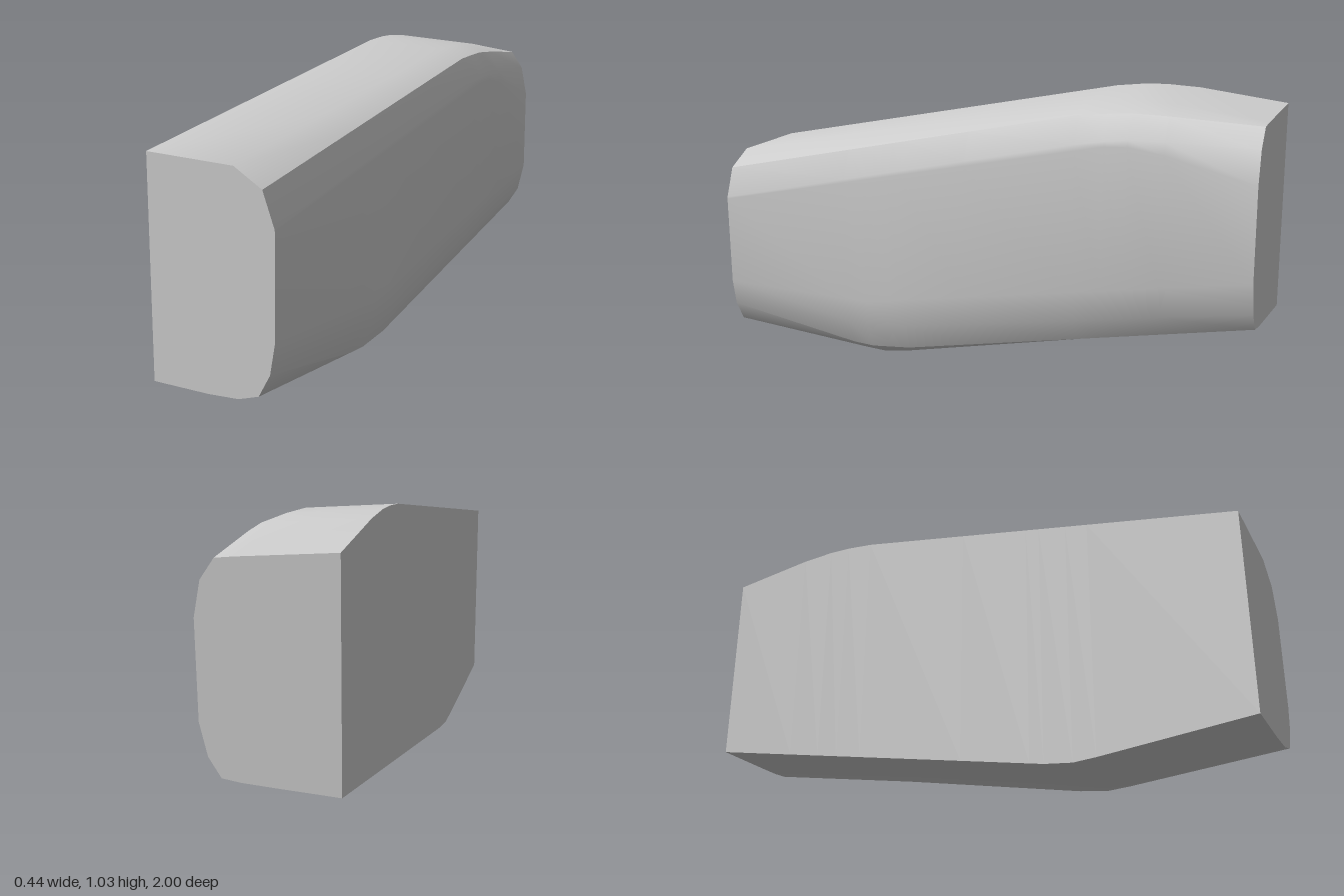
import * as THREE from 'three';
import { toCreasedNormals } from 'three/addons/utils/BufferGeometryUtils.js';

// Lengthwise edges of the shell as [z, x, y], running from front to back,
// listed around the section from the inner top edge to the inner bottom edge.
const rails = [
  [[1, -0.22, 0.765], [-0.4, -0.22, 1.02], [-0.5, -0.22, 1.03], [-0.58, -0.22, 1.032], [-0.7, -0.22, 1.025], [-1, -0.22, 0.985]],
  [[1, 0.085, 0.745], [-0.4, 0.085, 0.993], [-0.58, 0.085, 1.006], [-0.7, 0.085, 0.998], [-1, 0.085, 0.957]],
  [[1, 0.18, 0.685], [-0.42, 0.17, 0.962], [-0.58, 0.168, 0.972], [-0.7, 0.163, 0.968], [-1, 0.145, 0.95]],
  [[1, 0.218, 0.577], [-0.45, 0.21, 0.876], [-0.6, 0.209, 0.892], [-1, 0.19, 0.885]],
  [[1, 0.219, 0.57], [-0.5, 0.213, 0.865], [-0.62, 0.213, 0.87], [-1, 0.212, 0.775]],
  [[1, 0.213, 0.245], [0.4, 0.216, 0.235], [-1, 0.21, 0.465]],
  [[1, 0.195, 0.15], [0.4, 0.21, 0.148], [0.25, 0.21, 0.158], [-1, 0.185, 0.36]],
  [[1, 0.155, 0.08], [0.4, 0.17, 0.053], [0.25, 0.169, 0.066], [-1, 0.145, 0.298]],
  [[1, 0.085, 0.06], [0.48, 0.085, 0.011], [0.4, 0.085, 0.007], [0.3, 0.085, 0.021], [-1, 0.085, 0.291]],
  [[1, -0.02, 0.057], [0.48, -0.02, 0.006], [0.4, -0.02, 0.001], [0.3, -0.02, 0.017], [-1, -0.02, 0.287]],
  [[1, -0.22, 0.063], [0.48, -0.22, 0.013], [0.4, -0.22, 0.008], [0.3, -0.22, 0.02], [-1, -0.22, 0.281]],
];
const stations = [1, 0.48, 0.4, 0.3, 0.25, 0, -0.4, -0.5, -0.58, -0.7, -1];

// Point on a rail at a given z
function pointAt(rail, z) {
  let k = 0;
  while (k < rail.length - 2 && z < rail[k + 1][0]) k++;
  const [a, b] = [rail[k], rail[k + 1]];
  const t = (z - a[0]) / (b[0] - a[0]);
  return [a[1] + (b[1] - a[1]) * t, a[2] + (b[2] - a[2]) * t, z];
}

function loftGeometry() {
  const n = rails.length;
  const positions = stations.flatMap((z) => rails.flatMap((rail) => pointAt(rail, z)));
  const index = [];
  // Skin, including the flat inner wall that closes each section
  for (let s = 0; s < stations.length - 1; s++) {
    for (let i = 0; i < n; i++) {
      const j = (i + 1) % n;
      const a = s * n + i, b = s * n + j, c = a + n, d = b + n;
      index.push(a, b, d, a, d, c);
    }
  }
  // Flat front and back ends
  const last = (stations.length - 1) * n;
  for (let i = 1; i < n - 1; i++) {
    index.push(0, i + 1, i);
    index.push(last, last + i, last + i + 1);
  }
  const geometry = new THREE.BufferGeometry();
  geometry.setAttribute('position', new THREE.Float32BufferAttribute(positions, 3));
  geometry.setIndex(index);
  return toCreasedNormals(geometry, THREE.MathUtils.degToRad(32));
}

export function createModel() {
  const group = new THREE.Group();
  group.name = 'roundedSidePanel';
  const grey = new THREE.MeshStandardMaterial({ color: 0xcccccc });
  grey.name = 'light grey';
  const body = new THREE.Mesh(loftGeometry(), grey);
  body.name = 'panelBody';
  group.add(body);
  return group;
}
